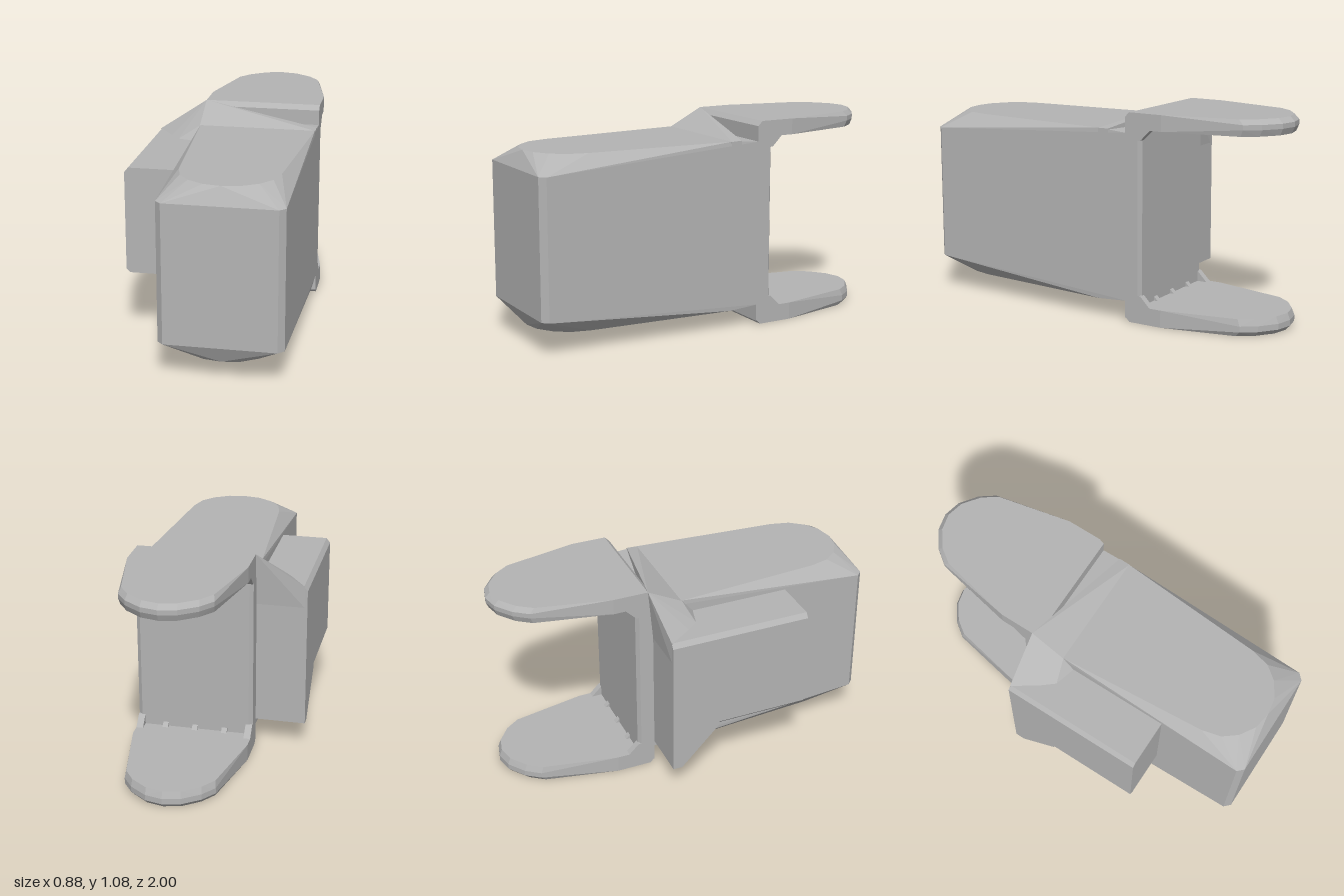
import * as THREE from 'three';
import { ConvexGeometry } from 'three/addons/geometries/ConvexGeometry.js';

const L = -0.18, R = 0.44, MID = 0.13, HALF = 0.31;

export function createModel() {
  const group = new THREE.Group();
  const grey = new THREE.MeshStandardMaterial({ color: 0xb4b4b4 });
  grey.name = 'plainGrey';

  // Faceted solid around a set of corner points
  const solid = (name, pts) => {
    const mesh = new THREE.Mesh(new ConvexGeometry(pts.map(p => new THREE.Vector3(...p))), grey);
    mesh.name = name;
    group.add(mesh);
    return mesh;
  };
  // Half outline [offset from middle, z] placed on both sides at height y
  const layer = (outline, y) => outline.flatMap(([dx, z]) => [[MID - dx, y, z], [MID + dx, y, z]]);

  // Main body: flat rounded tongue above and below, sides sloping to the front
  const tongue = [[0.308, -0.06], [0.25, 0.72], [0.225, 0.82], [0.17, 0.89], [0.09, 0.94], [0, 0.955]];
  const front = [[HALF, 0.97], [0.28, 1]];
  solid('body', [
    ...layer(tongue, 0.987), ...layer(tongue, 0.097),
    ...layer(front, 0.9), ...layer(front, 0.185),
    ...layer([[HALF, -0.23]], 0.975), ...layer([[HALF, -0.23]], 0.109),
  ]);

  // Fork arms: tapered plates with a rounded, chamfered tip
  const arm = [[HALF, -0.22], [HALF, -0.43], [0.235, -0.84], [0.18, -0.915], [0.09, -0.98], [0, -1]];
  const inset = (k, root) => arm.map(([dx, z], i) =>
    i === 0 ? [dx, root] : [dx * (i > 1 ? k : 1), i > 1 ? z + (1 - k) * 0.7 : z]);
  solid('upperArm', [
    ...layer(inset(0.965, -0.245), 1.08), ...layer(arm, 1.055),
    ...layer(arm, 1.03), ...layer(inset(0.98, -0.22), 0.997),
  ]);
  solid('lowerArm', [
    ...layer(inset(0.965, -0.245), 0), ...layer(arm, 0.025),
    ...layer(arm, 0.055), ...layer(inset(0.98, -0.22), 0.09),
  ]);

  // Fork back plate with chamfered vertical edges
  const plate = [[HALF, -0.22], [HALF, -0.295], [0.29, -0.31]];
  solid('forkPlate', [...layer(plate, 0.02), ...layer(plate, 1.05)]);

  // Corner gussets at both ends, and low ribs between them
  const gusset = (name, x, w, size, top) => {
    const y = top ? 1.0 : 0.087, s = top ? -1 : 1;
    solid(name, [x - w / 2, x + w / 2].flatMap(px => [
      [px, y, -0.295], [px, y + s * size, -0.295], [px, y + s * size, -0.31], [px, y, -0.31 - size],
    ]));
  };
  for (const top of [true, false]) {
    for (const side of [-1, 1]) gusset('cornerGusset', MID + side * 0.292, 0.036, 0.058, top);
    for (let i = -1; i <= 1; i++) gusset('lowRib', MID + i * 0.16, 0.03, 0.025, top);
  }

  // Slanted ridge climbing from the body to the fork
  solid('topRidge', [
    [L, 0.95, -0.06], [R, 0.95, -0.06], [L, 0.986, -0.06], [R, 0.986, -0.06],
    [L, 1.08, -0.245], [R, 0.988, -0.12], [R, 0.95, -0.12], [L, 0.95, -0.245],
  ]);

  // Side box with a chamfered outer edge
  const ends = (x, y) => [[x, y, -0.22], [x, y, 0.53]];
  solid('sideBox', [
    ...ends(-0.1, 0.915), ...ends(-0.425, 0.915), ...ends(-0.445, 0.89),
    ...ends(-0.445, 0.375), ...ends(-0.425, 0.355), ...ends(-0.1, 0.355),
  ]);

  // Sloping fin that ties the side box to the fork
  solid('sideFin', [
    [L, 1.08, -0.245], [-0.43, 0.915, -0.22], [-0.34, 0.915, -0.09], [-0.29, 0.915, -0.03],
    [L, 0.915, 0], [L, 0.986, -0.06], [L, 0.8, -0.22], [-0.43, 0.8, -0.22], [L, 0.8, 0],
  ]);

  // Wedge below the side box
  solid('sideWedge', [-0.445, -0.15].flatMap(x => [
    [x, 0.138, -0.22], [x, 0.138, -0.17], [x, 0.355, 0.04], [x, 0.38, 0.04], [x, 0.38, -0.22],
  ]));

  return group;
}
